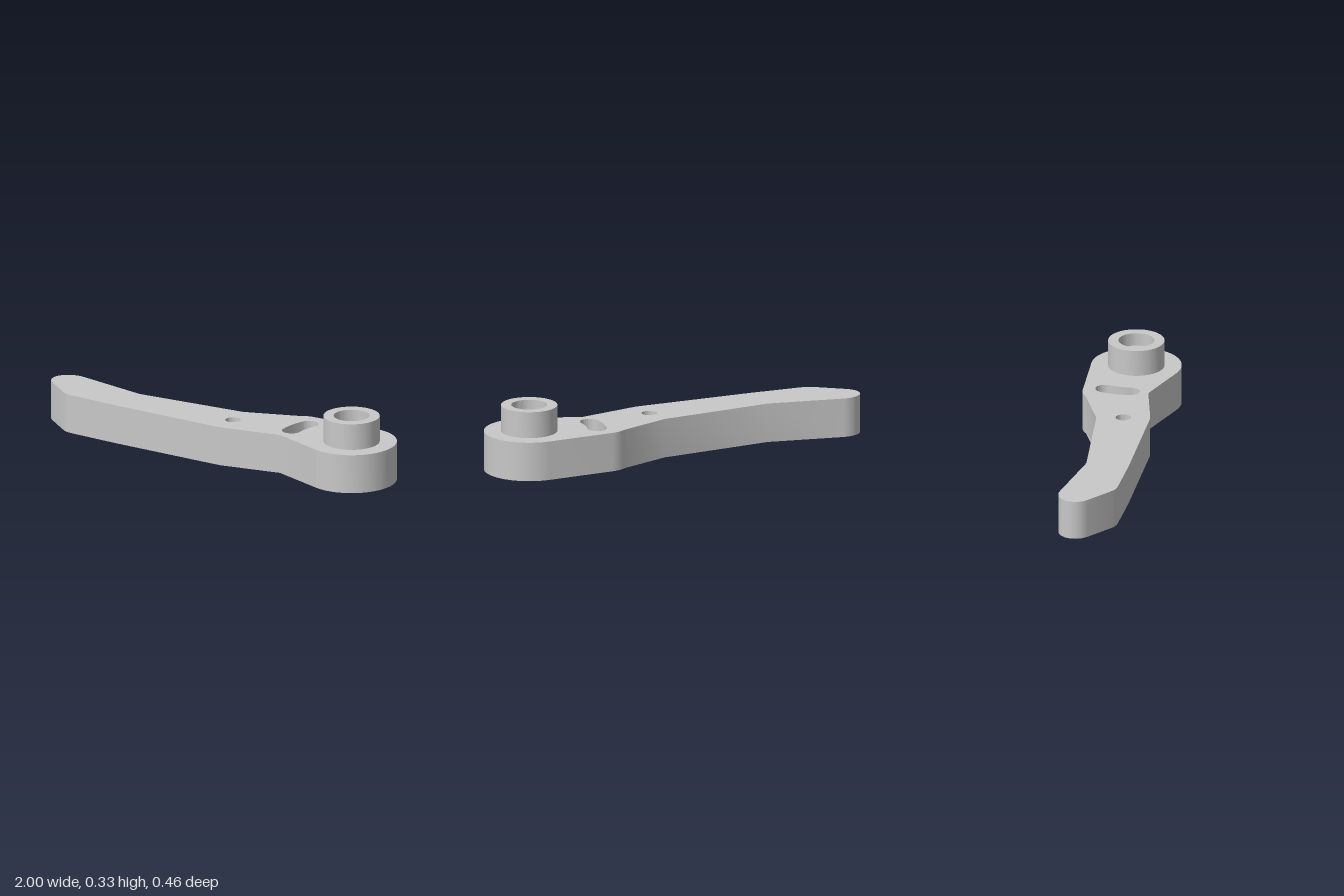
import * as THREE from 'three';
import { toCreasedNormals } from 'three/addons/utils/BufferGeometryUtils.js';

const PLATE_H = 0.198, BOSS_TOP = 0.331;
const PIVOT = { x: 0.775, z: 0.005 };
const PIN = { x: 0.1, z: 0.002 };
const PIN_R = 0.038;

export function createModel() {
  const grey = new THREE.MeshStandardMaterial({ color: 0xc8c8c8 });
  grey.name = 'light grey metal';
  const group = new THREE.Group();
  group.name = 'lever';

  const add = (name, geometry, x = 0, y = 0, z = 0) => {
    const mesh = new THREE.Mesh(geometry, grey);
    mesh.name = name;
    mesh.position.set(x, y, z);
    group.add(mesh);
  };

  // Lever outline, drawn in (x, -z) and laid flat afterwards
  const s = new THREE.Shape();
  s.moveTo(-0.87, 0.225);
  s.bezierCurveTo(-0.94, 0.243, -1.0, 0.2, -1.0, 0.145);
  s.quadraticCurveTo(-1.0, 0.105, -0.967, 0.076);
  s.lineTo(-0.84, -0.035);
  s.quadraticCurveTo(-0.82, -0.051, -0.785, -0.056);
  s.lineTo(-0.52, -0.086);
  s.lineTo(0.07, -0.134);
  s.quadraticCurveTo(0.1, -0.137, 0.13, -0.133);
  s.lineTo(0.42, -0.097);
  s.lineTo(0.685, -0.211);
  s.absarc(PIVOT.x, -PIVOT.z, 0.225, -1.98, 1.53, false);
  s.lineTo(0.43, 0.231);
  s.quadraticCurveTo(0.39, 0.232, 0.35, 0.208);
  s.lineTo(0.085, 0.131);
  s.lineTo(-0.5, 0.127);
  s.closePath();

  // Curved slot, concentric with the pivot
  const slot = new THREE.Path();
  const R = 0.34, w = 0.048, a0 = Math.PI - 0.385, a1 = Math.PI;
  const px = PIVOT.x, py = -PIVOT.z;
  slot.absarc(px, py, R + w, a0, a1, false);
  slot.absarc(px + R * Math.cos(a1), py + R * Math.sin(a1), w, a1, a1 + Math.PI, false);
  slot.absarc(px, py, R - w, a1, a0, true);
  slot.absarc(px + R * Math.cos(a0), py + R * Math.sin(a0), w, a0 + Math.PI, a0 + 2 * Math.PI, false);
  s.holes.push(slot);

  // Round holes for the pivot and the pin
  for (const [c, r] of [[PIVOT, 0.06], [PIN, PIN_R]]) {
    s.holes.push(new THREE.Path().absarc(c.x, -c.z, r, 0, Math.PI * 2, true));
  }

  const plate = new THREE.ExtrudeGeometry(s, { depth: PLATE_H, bevelEnabled: false, curveSegments: 40 });
  plate.rotateX(-Math.PI / 2);
  add('leverPlate', toCreasedNormals(plate, 0.45));

  // Floor that makes the pin hole shallow
  add('pinHoleFloor', new THREE.CylinderGeometry(PIN_R, PIN_R, 0.16, 40), PIN.x, 0.08, PIN.z);

  // Pivot boss with a blind counterbore
  const profile = [[0, PLATE_H], [0.14, PLATE_H], [0.14, BOSS_TOP], [0.089, BOSS_TOP], [0.089, 0.265], [0, 0.265]]
    .map(([r, y]) => new THREE.Vector2(r, y));
  add('pivotBoss', toCreasedNormals(new THREE.LatheGeometry(profile, 64), 0.5), PIVOT.x, 0, PIVOT.z);

  return group;
}
